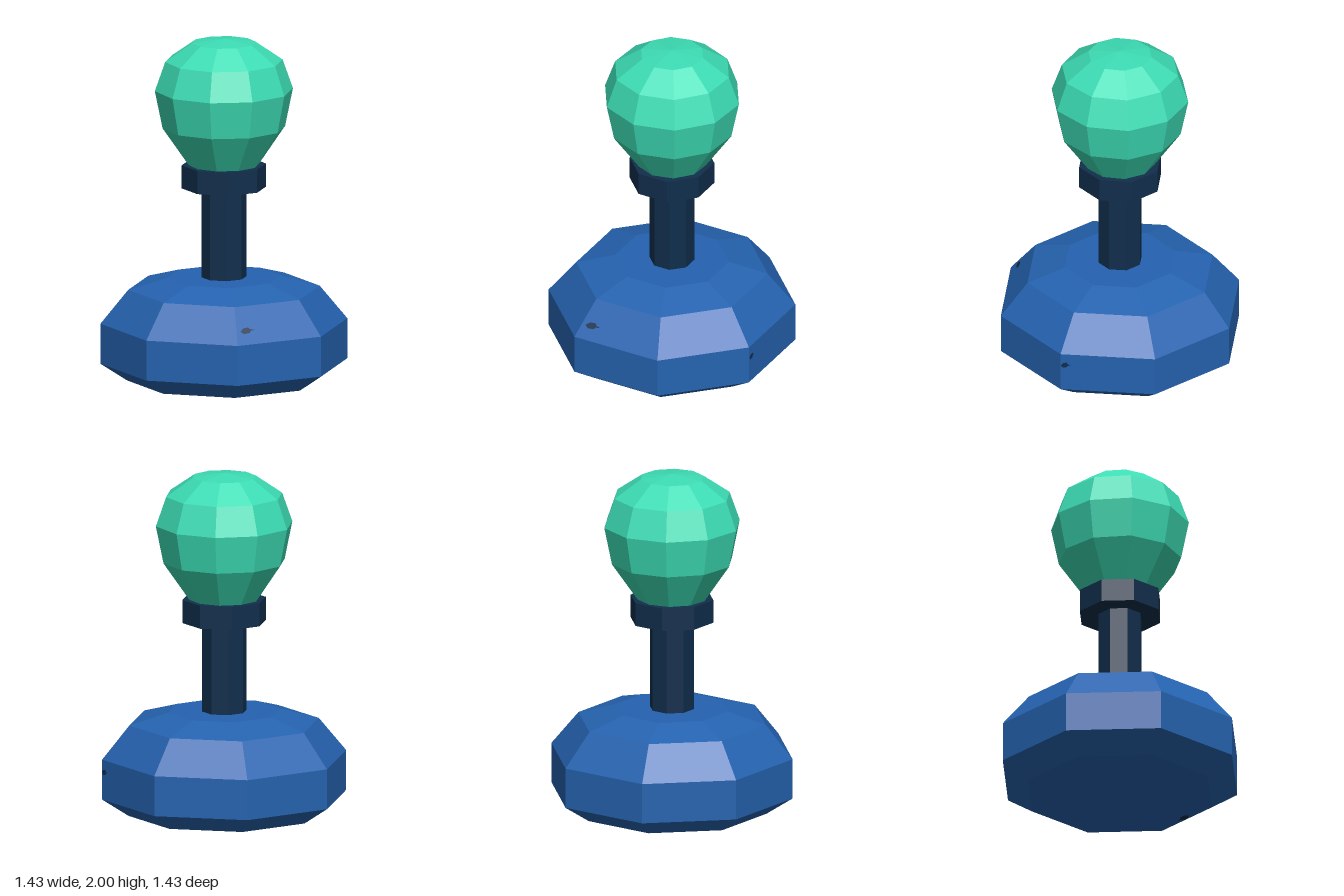
import * as THREE from 'three';

const mat = (name, color) => {
  const m = new THREE.MeshStandardMaterial({ color });
  m.name = name;
  return m;
};

export function createModel() {
  const model = new THREE.Group();
  model.name = 'joystick';
  const blue = mat('base blue', 0x2563b0);
  const navy = mat('dark navy', 0x102e4c);
  const green = mat('knob green', 0x3cdcb4);

  // Faceted turned part with a corner on the x axis; profile runs bottom to top
  function turned(name, profile, sides, material) {
    const points = profile.map(([r, y]) => new THREE.Vector2(r, y));
    const geo = new THREE.LatheGeometry(points, sides, Math.PI / 2).toNonIndexed();
    geo.computeVertexNormals();
    const mesh = new THREE.Mesh(geo, material);
    mesh.name = name;
    model.add(mesh);
  }

  turned('base', [[0, 0.003], [0.56, 0.003], [0.715, 0.105], [0.715, 0.34],
    [0.555, 0.535], [0.33, 0.6], [0, 0.6]], 8, blue);
  turned('stem', [[0.13, 0.58], [0.13, 1.14]], 8, navy);
  turned('collar', [[0, 1.125], [0.245, 1.125], [0.245, 1.26], [0, 1.26]], 8, navy);
  turned('knob', [[0, 1.255], [0.2, 1.255], [0.355, 1.48], [0.4, 1.7],
    [0.34, 1.87], [0.185, 1.977], [0, 2]], 10, green);

  // Small dark chips lying flat on faces of the base
  const outline = [[-0.5, -0.1], [-0.3, -0.5], [0.1, -0.4], [0.2, -0.1],
    [0.5, 0], [0.2, 0.2], [0.1, 0.5], [-0.25, 0.4]];
  function chip(name, turn, tilt, x, y, z, width, height) {
    const shape = new THREE.Shape(outline.map(([u, v]) => new THREE.Vector2(u * width, v * height)));
    const mesh = new THREE.Mesh(new THREE.ShapeGeometry(shape), navy);
    mesh.name = name;
    mesh.position.set(x, y, z);
    mesh.rotation.x = tilt;
    const holder = new THREE.Group();
    holder.name = name + 'Holder';
    holder.rotation.y = turn;
    holder.add(mesh);
    model.add(holder);
  }
  const step = Math.PI / 8;
  chip('frontChip', step, -Math.atan2(0.148, 0.195), -0.18, 0.412, 0.609, 0.095, 0.04);
  chip('sideChip', 5 * step, 0, -0.243, 0.27, 0.663, 0.058, 0.034);
  chip('undersideChip', 3 * step, Math.PI / 2, 0, 0, 0.49, 0.1, 0.045);

  return model;
}
